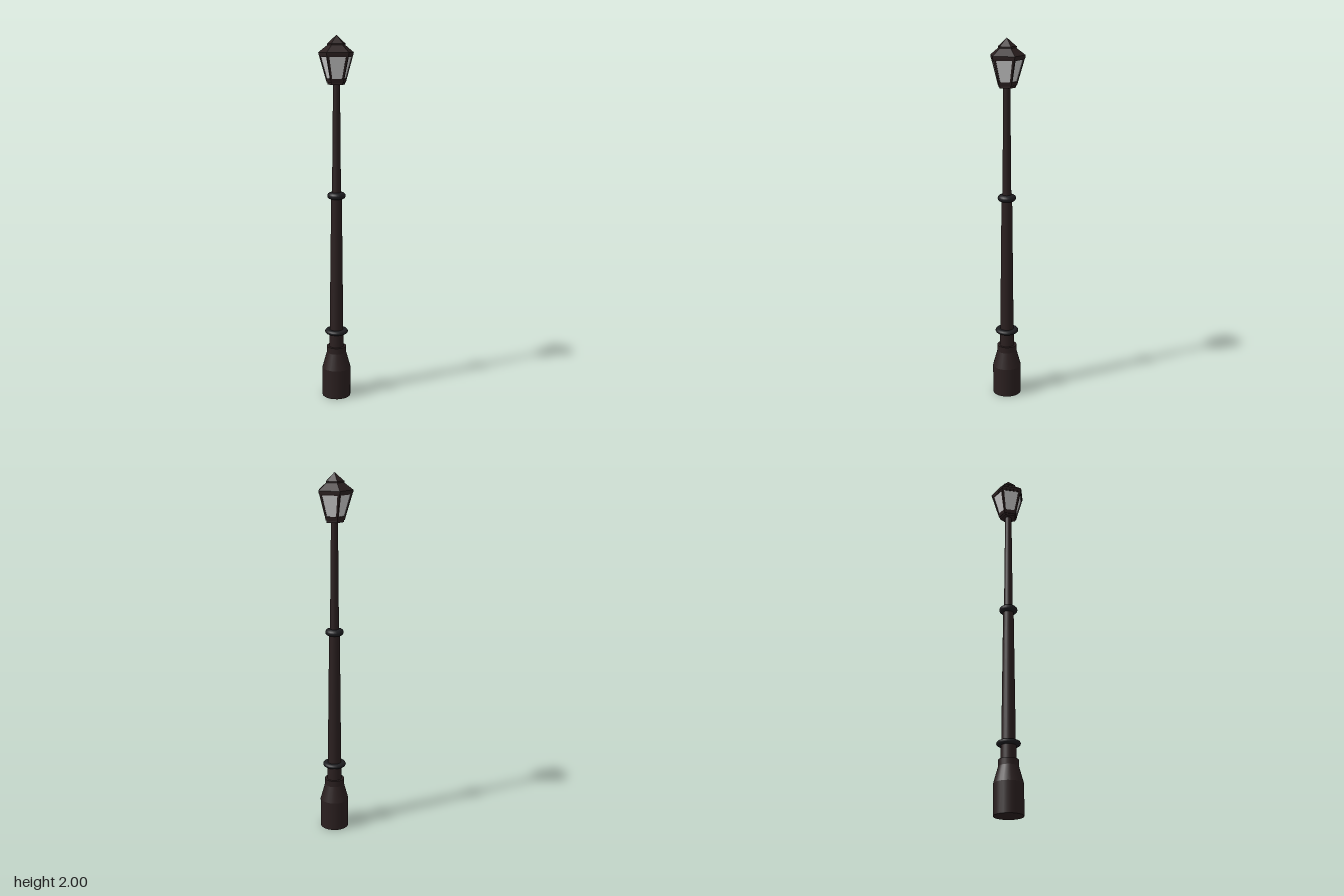
import * as THREE from 'three';

const AXIS_Z = 0.01; // the pentagon's centre sits slightly forward
const iron = new THREE.MeshStandardMaterial({ color: 0x2b2020 });
const ironFlat = new THREE.MeshStandardMaterial({ color: 0x2b2020, flatShading: true });
const dark = new THREE.MeshStandardMaterial({ color: 0x1d1d20 });
const glass = new THREE.MeshStandardMaterial({ color: 0xc6c9c9, side: THREE.DoubleSide });

function add(parent, name, geometry, material, y = 0) {
  const mesh = new THREE.Mesh(geometry, material);
  mesh.name = name;
  mesh.position.y = y;
  parent.add(mesh);
  return mesh;
}

// Round tapered section between two heights
function round(parent, name, y0, y1, r0, r1, material = iron) {
  return add(parent, name, new THREE.CylinderGeometry(r1, r0, y1 - y0, 24), material, (y0 + y1) / 2);
}

// Five-sided section with one corner pointing to the back
function penta(parent, name, y0, y1, r0, r1) {
  const g = new THREE.CylinderGeometry(r1, r0, y1 - y0, 5, 1, false, Math.PI);
  return add(parent, name, g, ironFlat, (y0 + y1) / 2);
}

// Collar ring with rounded edge
function collar(parent, name, y0, y1, rIn, rOut) {
  const b = (y1 - y0) / 2;
  const pts = [new THREE.Vector2(rIn, y0)];
  for (let i = 0; i <= 6; i++) {
    const a = -Math.PI / 2 + (i / 6) * Math.PI;
    pts.push(new THREE.Vector2(rOut - b + b * Math.cos(a), (y0 + y1) / 2 + b * Math.sin(a)));
  }
  pts.push(new THREE.Vector2(rIn, y1));
  return add(parent, name, new THREE.LatheGeometry(pts, 24), dark);
}

// Symmetric trapezoid outline
function trapezoid(Type, y0, y1, w0, w1) {
  const s = new Type();
  s.moveTo(-w0, y0);
  s.lineTo(w0, y0);
  s.lineTo(w1, y1);
  s.lineTo(-w1, y1);
  s.closePath();
  return s;
}

export function createModel() {
  const model = new THREE.Group();
  model.name = 'streetLamp';
  const lamp = new THREE.Group();
  lamp.name = 'lampPost';
  lamp.position.z = AXIS_Z;
  model.add(lamp);

  // Base
  round(lamp, 'baseDrum', 0, 0.165, 0.079, 0.079);
  round(lamp, 'baseShoulder', 0.165, 0.255, 0.079, 0.054);
  round(lamp, 'baseNeck', 0.255, 0.29, 0.054, 0.054);

  // Pole and collars
  round(lamp, 'poleFoot', 0.28, 0.375, 0.041, 0.04);
  round(lamp, 'lowerPole', 0.37, 1.15, 0.038, 0.029);
  round(lamp, 'upperPole', 1.14, 1.75, 0.0245, 0.0185);
  collar(lamp, 'lowerCollar', 0.366, 0.389, 0.03, 0.064);
  collar(lamp, 'upperCollar', 1.13, 1.166, 0.02, 0.05);

  // Lantern floor and roof
  const lantern = new THREE.Group();
  lantern.name = 'lantern';
  lamp.add(lantern);
  penta(lantern, 'floorPlate', 1.743, 1.754, 0.049, 0.049);
  penta(lantern, 'floor', 1.754, 1.768, 0.054, 0.058);
  penta(lantern, 'eave', 1.895, 1.91, 0.097, 0.0988);
  penta(lantern, 'roof', 1.91, 1.95, 0.0988, 0.046);
  penta(lantern, 'capRim', 1.948, 1.956, 0.052, 0.052);
  penta(lantern, 'capPoint', 1.956, 2.0, 0.05, 0);

  // Five leaning framed panes
  const y0 = 1.765, y1 = 1.9, r0 = 0.057, r1 = 0.097;
  const cos = Math.cos(Math.PI / 5), sin = Math.sin(Math.PI / 5);
  const lean = (r1 - r0) * cos;
  const length = Math.hypot(lean, y1 - y0);
  const shape = trapezoid(THREE.Shape, 0, length, r0 * sin, r1 * sin);
  shape.holes.push(trapezoid(THREE.Path, 0.01, length - 0.013, 0.026, 0.043));
  const frameGeo = new THREE.ExtrudeGeometry(shape, { depth: 0.007, bevelEnabled: false });
  frameGeo.translate(0, 0, -0.007);
  const paneGeo = new THREE.ShapeGeometry(trapezoid(THREE.Shape, 0.008, length - 0.011, 0.027, 0.044));
  for (let i = 0; i < 5; i++) {
    const side = new THREE.Group();
    side.name = 'lanternSide';
    side.rotation.y = (i * 2 * Math.PI) / 5;
    const panel = new THREE.Group();
    panel.name = 'panel';
    panel.position.set(0, y0, r0 * cos);
    panel.rotation.x = Math.atan2(lean, y1 - y0);
    add(panel, 'frame', frameGeo, ironFlat);
    add(panel, 'glassPane', paneGeo, glass).position.z = -0.004;
    side.add(panel);
    lantern.add(side);
  }
  return model;
}
